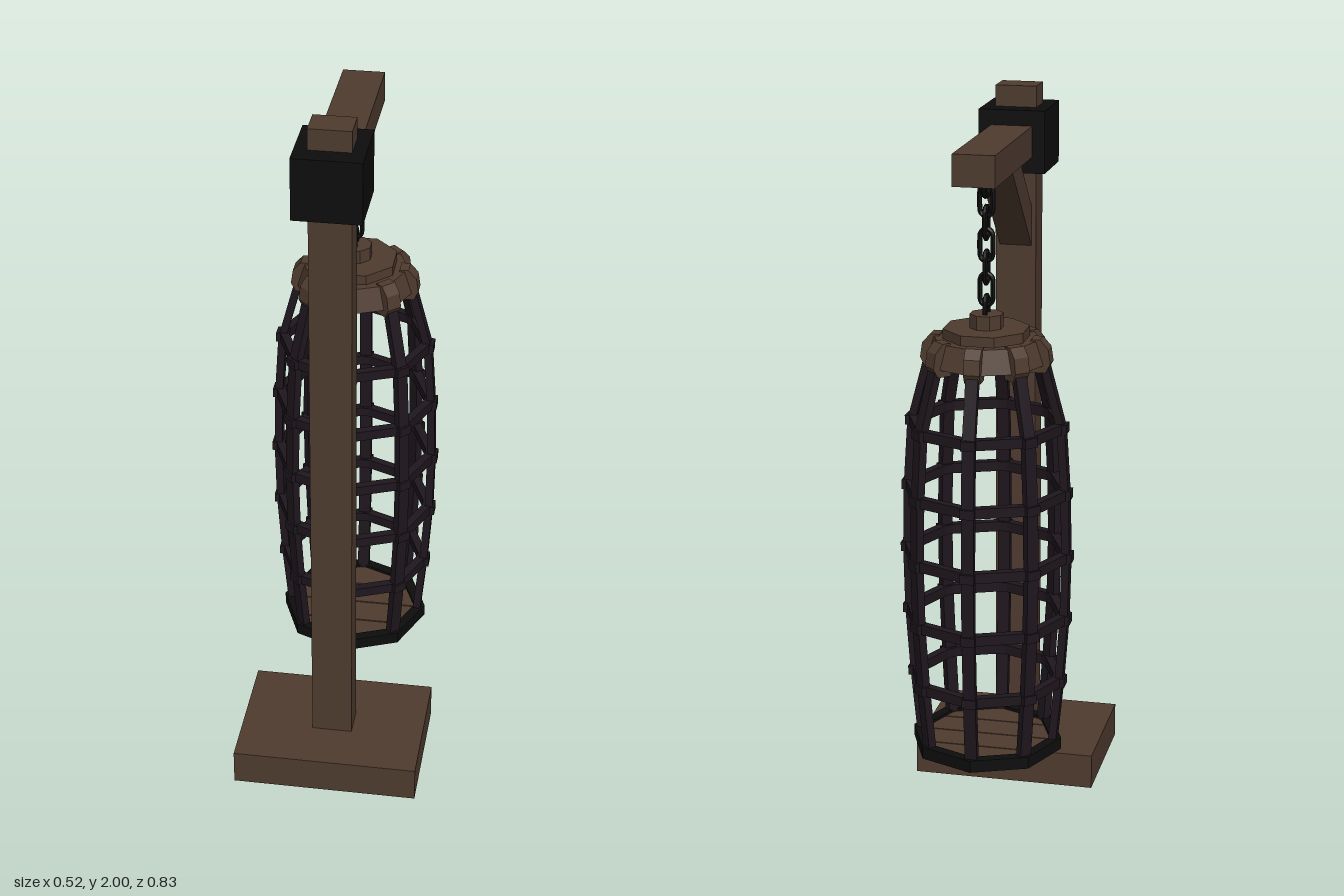
import * as THREE from 'three';

const mat = (color) => new THREE.MeshStandardMaterial({ color, flatShading: true });
const wood = mat(0x4e3b2f), iron = mat(0x1e161d), black = mat(0x0d0d0d);

function add(parent, name, geo, material, x = 0, y = 0, z = 0) {
  const m = new THREE.Mesh(geo, material);
  m.name = name;
  m.position.set(x, y, z);
  parent.add(m);
  return m;
}

// box given by its limits on each axis
function block(parent, name, material, [x0, x1], [y0, y1], [z0, z1]) {
  return add(parent, name, new THREE.BoxGeometry(x1 - x0, y1 - y0, z1 - z0), material,
    (x0 + x1) / 2, (y0 + y1) / 2, (z0 + z1) / 2);
}

const polygon = (pts) => new THREE.Shape(pts.map(([x, y]) => new THREE.Vector2(x, y)));
const octagon = (r) => Array.from({ length: 8 }, (_, i) =>
  [r * Math.cos(i * Math.PI / 4), r * Math.sin(i * Math.PI / 4)]);
const extrude = (shape, depth) => new THREE.ExtrudeGeometry(shape, { depth, bevelEnabled: false });

// flat octagonal hoop, centred on its own height
function hoop(outer, inner, height) {
  const s = polygon(octagon(outer));
  s.holes.push(polygon(octagon(inner)));
  return extrude(s, height).translate(0, 0, -height / 2).rotateX(-Math.PI / 2);
}

// oval chain link standing upright in the yz plane
function linkGeometry(halfWidth, halfHeight, tube) {
  const pts = [];
  const straight = halfHeight - halfWidth;
  for (let i = 0; i < 16; i++) {
    const a = (i + 0.5) / 16 * Math.PI * 2;
    pts.push(new THREE.Vector3(0, halfWidth * Math.sin(a) + Math.sign(Math.sin(a)) * straight,
      halfWidth * Math.cos(a)));
  }
  return new THREE.TubeGeometry(new THREE.CatmullRomCurve3(pts, true), 32, tube, 6, true);
}

function buildStand() {
  const g = new THREE.Group();
  g.name = 'stand';
  block(g, 'base', wood, [-0.26, 0.26], [0, 0.1], [0.03, 0.415]);
  block(g, 'post', wood, [-0.057, 0.057], [0.1, 2], [0.183, 0.268]);
  block(g, 'collar', black, [-0.092, 0.092], [1.77, 1.942], [0.127, 0.322]);
  block(g, 'arm', wood, [-0.057, 0.057], [1.815, 1.9], [-0.32, 0.2]);
  // diagonal brace, drawn in (z, y) and extruded across x
  const brace = polygon([[0.19, 1.55], [0.19, 1.66], [0.035, 1.82], [-0.075, 1.82]]);
  add(g, 'brace', extrude(brace, 0.09).translate(0, 0, -0.045).rotateY(-Math.PI / 2), wood)
    .scale.set(1, 1, 1);
  return g;
}

function buildChain() {
  const g = new THREE.Group();
  g.name = 'chain';
  const hook = new THREE.TorusGeometry(0.045, 0.01, 6, 12, Math.PI).rotateZ(Math.PI).rotateY(Math.PI / 2);
  add(g, 'hook', hook, black, 0, 1.813, 0);
  block(g, 'hookPlate', black, [-0.02, 0.02], [1.805, 1.816], [-0.06, 0.06]);
  const link = linkGeometry(0.017, 0.043, 0.007);
  for (let i = 0; i < 6; i++) {
    add(g, 'chainLink', link, black, 0, 1.755 - i * 0.06, 0).rotation.y = i % 2 ? 0 : Math.PI / 2;
  }
  return g;
}

function buildCage() {
  const g = new THREE.Group();
  g.name = 'cage';
  // outer radius of the cage at each height
  const profile = [[0.197, 0.22], [0.216, 0.415], [0.229, 0.6], [0.233, 0.78],
    [0.229, 0.96], [0.217, 1.145], [0.165, 1.34]];
  const barShape = polygon([...profile, ...profile.map(([r, y]) => [r - 0.022, y]).reverse()]);
  const bar = extrude(barShape, 0.034).translate(0, 0, -0.017);
  const rib = extrude(polygon([[0.125, 1.3], [0.165, 1.3], [0.178, 1.325], [0.172, 1.365],
    [0.15, 1.39], [0.125, 1.39]]), 0.044).translate(0, 0, -0.022);

  // bars, their clamps and the cap ribs, one set per corner
  for (let i = 0; i < 8; i++) {
    const corner = new THREE.Group();
    corner.name = 'corner';
    corner.rotation.y = i * Math.PI / 4;
    add(corner, 'bar', bar, iron);
    add(corner, 'capRib', rib, wood);
    for (const [r, y] of profile.slice(1, -1)) {
      block(corner, 'clamp', iron, [r - 0.03, r + 0.006], [y - 0.013, y + 0.013], [-0.02, 0.02]);
    }
    g.add(corner);
  }
  for (const [r, y] of profile.slice(1, -1)) {
    add(g, 'hoop', hoop(r + 0.001, r - 0.025, 0.028), iron, 0, y, 0);
  }

  // floor: black rim around four planks cut to the octagon
  add(g, 'floorRim', hoop(0.211, 0.18, 0.034), black, 0, 0.227, 0);
  const R = 0.188, k = R * Math.SQRT1_2;
  const halfWidth = (z) => Math.abs(z) > k
    ? k * (R - Math.abs(z)) / (R - k)
    : R - (R - k) * Math.abs(z) / k;
  const cuts = [-0.186, -0.09, 0, 0.09, 0.186];
  for (let i = 0; i < 4; i++) {
    const a = cuts[i] + 0.002, b = cuts[i + 1] - 0.002;
    const zs = [a, ...[-k, k].filter((z) => z > a && z < b), b];
    const plank = polygon([...zs.map((z) => [halfWidth(z), z]),
      ...zs.map((z) => [-halfWidth(z), z]).reverse()]);
    add(g, 'floorPlank', extrude(plank, 0.018).rotateX(-Math.PI / 2), wood, 0, 0.218, 0);
  }

  // stepped wooden cap
  const tier = (name, top, bottom, y0, y1, turn) =>
    add(g, name, new THREE.CylinderGeometry(top, bottom, y1 - y0, 8), wood, 0, (y0 + y1) / 2, 0)
      .rotation.y = turn;
  tier('capSkirt', 0.148, 0.168, 1.32, 1.385, 0);
  tier('capTop', 0.118, 0.118, 1.38, 1.412, Math.PI / 8);
  tier('capKnob', 0.046, 0.046, 1.41, 1.45, Math.PI / 8);
  return g;
}

export function createModel() {
  const model = new THREE.Group();
  model.name = 'hangingCage';
  const hanging = new THREE.Group();
  hanging.name = 'hangingAssembly';
  hanging.position.z = -0.175;
  hanging.add(buildChain(), buildCage());
  model.add(buildStand(), hanging);
  return model;
}
